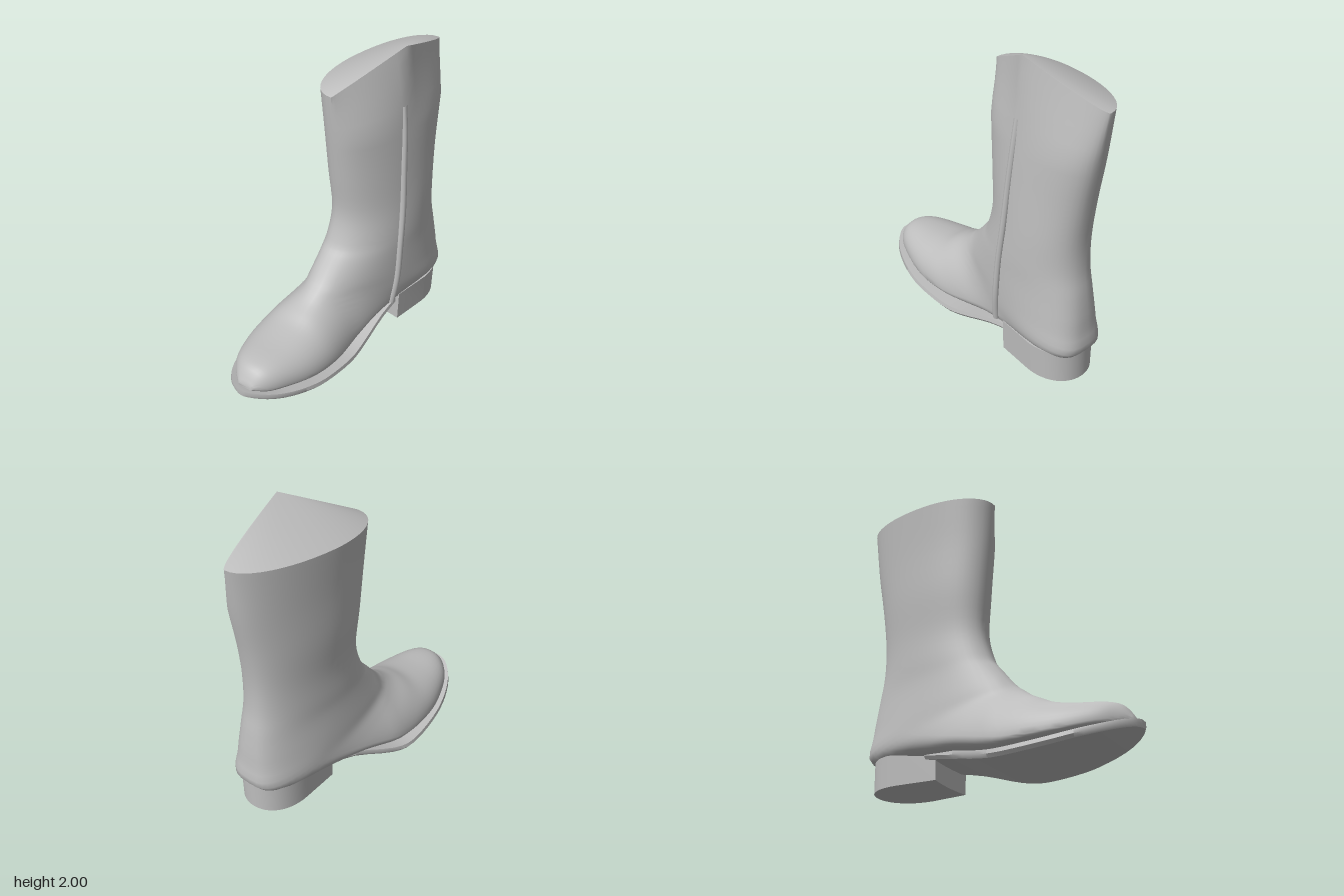
import * as THREE from 'three';
import { mergeVertices, toCreasedNormals } from 'three/addons/utils/BufferGeometryUtils.js';

const clamp = THREE.MathUtils.clamp, lerp = THREE.MathUtils.lerp;

// Skin a list of point rings; both ends closed by a fan from one corner
function loft(rings, crease, apex = 0) {
  const n = rings[0].length, last = (rings.length - 1) * n, index = [];
  for (let i = 0; i < rings.length - 1; i++) {
    for (let j = 0; j < n; j++) {
      const k = (j + 1) % n, a = i * n + j, b = i * n + k;
      index.push(a, a + n, b, b, a + n, b + n);
    }
  }
  for (let j = 1; j < n - 1; j++) {
    const p = (apex + j) % n, q = (apex + j + 1) % n;
    index.push(apex, p, q, last + apex, last + q, last + p);
  }
  const g = new THREE.BufferGeometry();
  g.setAttribute('position', new THREE.Float32BufferAttribute(rings.flat(2), 3));
  g.setIndex(index);
  return toCreasedNormals(g, crease);
}

// Smoothly resample a table of ring parameters
function refine(rows, steps) {
  const out = [];
  for (let i = 0; i < rows.length - 1; i++) {
    const [p, a, b, q] = [-1, 0, 1, 2].map(d => rows[clamp(i + d, 0, rows.length - 1)]);
    for (let s = 0; s < steps; s++) {
      const t = s / steps;
      out.push(a.map((v, k) => v + 0.5 * t * (b[k] - p[k]
        + t * (2 * p[k] - 5 * v + 4 * b[k] - q[k] + t * (3 * (v - b[k]) + q[k] - p[k])))));
    }
  }
  out.push(rows[rows.length - 1]);
  return out;
}

// The centre line drifts sideways from toe to heel
const axis = z => -0.03 + 0.14 * clamp(0.1 - z, 0, 1);

// One slanted ring from the front edge round to the back or sole edge
const SIDES = 48;
function bootRing([fz, fy, bz, by, wl, wr, mid, square, peak]) {
  const ring = [], k = clamp(peak, 0, 1);
  for (let j = 0; j < SIDES; j++) {
    const t = j / SIDES * Math.PI * 2, u = Math.cos(t), v = Math.sin(t);
    const s = u > 0 ? mid * (1 - u) : mid - (1 - mid) * u;
    const z = lerp(fz, bz, s);
    let y = lerp(fy, by, s);
    let w = Math.pow(Math.abs(v), u > 0 ? 0.9 : square);
    if (v > 1e-6) { // pointed side of the rim
      const tri = clamp(s < mid ? s / mid : (1 - s) / (1 - mid), 0, 1);
      w = lerp(w, Math.pow(tri, u > 0 ? 0.95 : 0.75), k);
      y += k * 0.207 * tri;
    }
    ring.push([axis(z) + (v > 0 ? wr : -wl) * w, y, z]);
  }
  return ring;
}

export function createModel() {
  const boot = new THREE.Group();
  boot.name = 'boot';
  const leather = new THREE.MeshStandardMaterial({ color: 0xbdbdbd });
  leather.name = 'grey leather';
  const add = (name, geometry) => {
    const mesh = new THREE.Mesh(geometry, leather);
    mesh.name = name;
    boot.add(mesh);
    return mesh;
  };

  // Shaft, ankle and foot: front z, y, back z, y, half-widths, widest point, squareness, rim peak
  const rows = [
    [0.02, 1.78, -0.93, 1.81, 0.235, 0.17, 0.44, 0.9, 1],
    [0.0, 1.5, -0.89, 1.5, 0.215, 0.205, 0.47, 0.9, 0],
    [-0.03, 1.19, -0.835, 1.2, 0.205, 0.23, 0.48, 0.9, 0],
    [-0.05, 0.92, -0.805, 0.95, 0.185, 0.25, 0.5, 0.9, 0],
    [0.0, 0.73, -0.808, 0.75, 0.185, 0.262, 0.5, 0.9, 0],
    [0.06, 0.645, -0.835, 0.58, 0.185, 0.265, 0.5, 0.8, 0],
    [0.165, 0.52, -0.86, 0.36, 0.2, 0.27, 0.58, 0.7, 0],
    [0.22, 0.475, -0.848, 0.19, 0.21, 0.27, 0.65, 0.6, 0],
    [0.26, 0.445, -0.5, 0.15, 0.22, 0.25, 0.72, 0.6, 0],
    [0.3, 0.42, -0.2, 0.12, 0.24, 0.245, 0.78, 0.6, 0],
    [0.36, 0.39, 0.1, 0.06, 0.275, 0.265, 0.8, 0.5, 0],
    [0.45, 0.348, 0.32, 0.06, 0.285, 0.275, 0.8, 0.5, 0],
    [0.59, 0.32, 0.52, 0.08, 0.265, 0.25, 0.8, 0.5, 0],
    [0.75, 0.303, 0.71, 0.11, 0.2, 0.185, 0.75, 0.5, 0],
    [0.83, 0.275, 0.82, 0.13, 0.125, 0.125, 0.7, 0.5, 0],
    [0.885, 0.2, 0.89, 0.16, 0.05, 0.05, 0.5, 0.7, 0],
  ];
  add('upper', loft(refine(rows, 4).map(bootRing), 0.9, SIDES / 4));

  // Curved sole with welt: z, left x, right x, underside y
  const soleRows = [
    [0.925, -0.06, 0.0, 0.135], [0.9, -0.12, 0.05, 0.128], [0.84, -0.185, 0.12, 0.11],
    [0.75, -0.245, 0.18, 0.085], [0.62, -0.297, 0.235, 0.057], [0.46, -0.33, 0.27, 0.028],
    [0.22, -0.343, 0.28, 0.004], [0.06, -0.3, 0.27, 0.02], [-0.18, -0.17, 0.255, 0.088],
    [-0.4, -0.11, 0.255, 0.13],
  ];
  add('sole', loft(refine(soleRows, 3).map(([z, l, r, y]) => {
    const top = y + 0.045;
    return [[l + 0.015, y, z], [r - 0.015, y, z], [r, y + 0.02, z],
      [r - 0.005, top, z], [l + 0.005, top, z], [l, y + 0.02, z]];
  }), 0.8));

  // Heel block: straight breast, rounded back, slightly tapered
  const outline = new THREE.Shape();
  outline.moveTo(-0.1, 0.33);
  outline.quadraticCurveTo(0.09, 0.36, 0.28, 0.33);
  outline.lineTo(0.32, 0.58);
  outline.bezierCurveTo(0.335, 0.75, 0.24, 0.847, 0.12, 0.847);
  outline.bezierCurveTo(0.0, 0.847, -0.1, 0.75, -0.1, 0.58);
  outline.closePath();
  const heel = new THREE.ExtrudeGeometry(outline, { depth: 0.215, bevelEnabled: false, curveSegments: 16 });
  heel.rotateX(-Math.PI / 2);
  const p = heel.attributes.position;
  for (let i = 0; i < p.count; i++) {
    if (p.getY(i) < 0.1) p.setX(i, 0.11 + (p.getX(i) - 0.11) * 0.96);
  }
  heel.deleteAttribute('normal');
  heel.deleteAttribute('uv');
  add('heel', toCreasedNormals(mergeVertices(heel), 0.7));

  // Raised side seam running up the shaft
  const seam = new THREE.CatmullRomCurve3([
    [0.265, 0.2, -0.26], [0.288, 0.4, -0.28], [0.288, 0.65, -0.3], [0.277, 0.92, -0.33],
    [0.258, 1.2, -0.35], [0.238, 1.45, -0.37], [0.218, 1.62, -0.38],
  ].map(v => new THREE.Vector3(...v)));
  add('sideSeam', new THREE.TubeGeometry(seam, 32, 0.022, 8));

  return boot;
}
